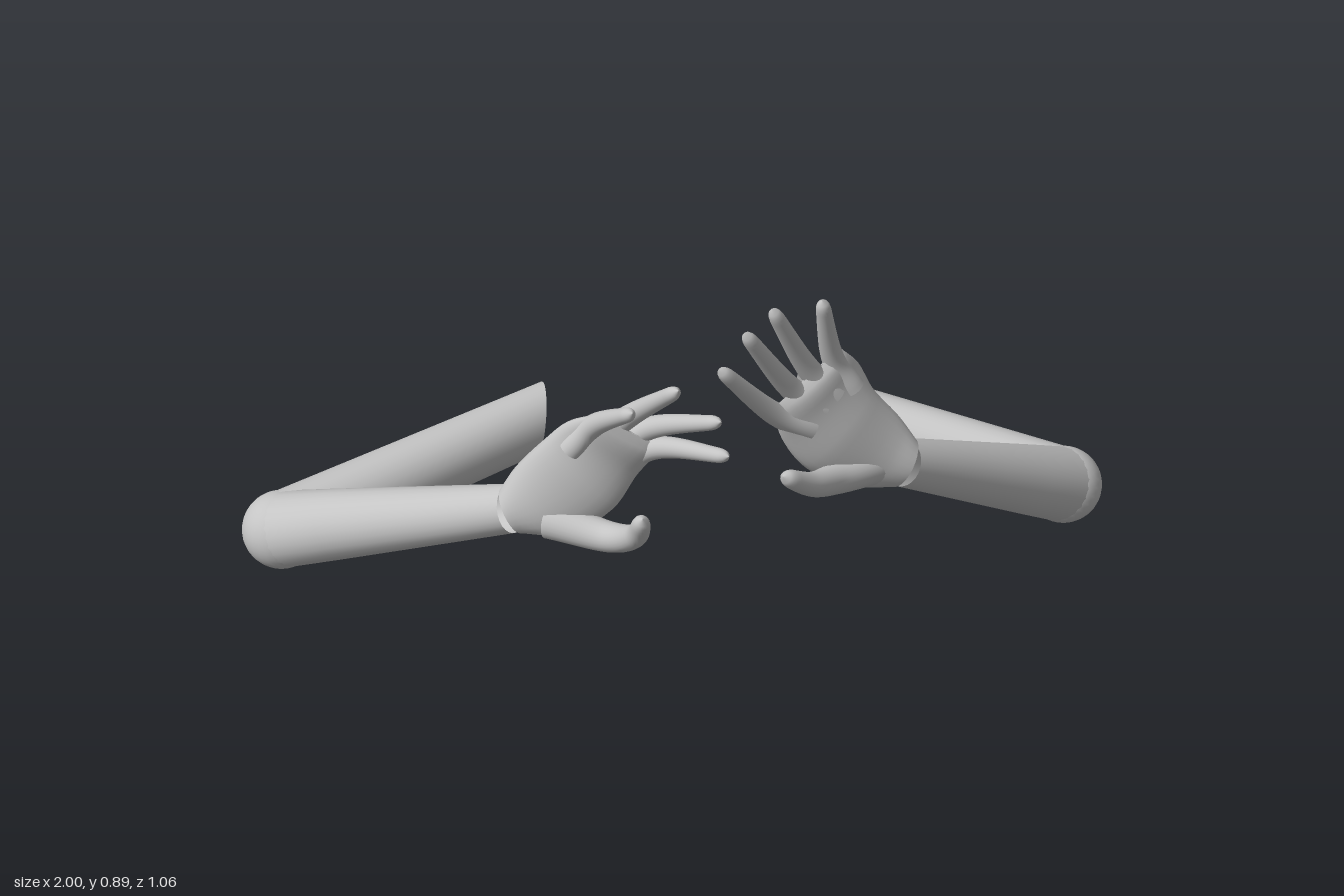
import * as THREE from 'three';

const SIDES = 24;
const UP = new THREE.Vector3(0, 1, 0);
const V = (p) => new THREE.Vector3(...p);

// Skin through rings, each given by a centre and two half axes
function loft(rings) {
  const pos = [], idx = [];
  for (const { c, a, b } of rings) {
    for (let j = 0; j < SIDES; j++) {
      const t = (j / SIDES) * Math.PI * 2;
      const p = c.clone().addScaledVector(a, Math.cos(t)).addScaledVector(b, Math.sin(t));
      pos.push(p.x, p.y, p.z);
    }
  }
  for (let i = 0; i < rings.length - 1; i++) {
    for (let j = 0; j < SIDES; j++) {
      const k = (j + 1) % SIDES, r = i * SIDES, s = r + SIDES;
      idx.push(r + j, r + k, s + j, r + k, s + k, s + j);
    }
  }
  const g = new THREE.BufferGeometry();
  g.setAttribute('position', new THREE.Float32BufferAttribute(pos, 3));
  g.setIndex(idx);
  g.computeVertexNormals();
  return g;
}

// Ring square to the direction d
function ring(c, d, rx, ry = rx) {
  const a = UP.clone().cross(d).normalize();
  const b = d.clone().cross(a).normalize();
  return { c, a: a.multiplyScalar(rx), b: b.multiplyScalar(ry) };
}

const roundEnd = (t, s) => (t > s ? Math.sqrt(Math.max(1e-4, 1 - ((t - s) / (1 - s)) ** 2)) : 1);

// Tapered, round-tipped digit along a curve
function digit(points, r0, r1) {
  const curve = new THREE.CatmullRomCurve3(points);
  const rings = [];
  for (let i = 0; i <= 32; i++) {
    const t = i / 32;
    const r = THREE.MathUtils.lerp(r0, r1, t) * roundEnd(t, 0.9);
    rings.push(ring(curve.getPointAt(t), curve.getTangentAt(t), r));
  }
  return loft(rings);
}

// Palm from thumb-side edge, little-finger-side edge and half thickness
function palm(sections) {
  const p = new THREE.CatmullRomCurve3(sections.map((s) => V(s[0])));
  const q = new THREE.CatmullRomCurve3(sections.map((s) => V(s[1])));
  const mid = (t) => p.getPoint(t).add(q.getPoint(t)).multiplyScalar(0.5);
  const rings = [];
  const n = sections.length - 1;
  for (let i = 0; i <= 24; i++) {
    const t = i / 24, k = Math.min(n - 1, Math.floor(t * n));
    const thick = THREE.MathUtils.lerp(sections[k][2], sections[k + 1][2], t * n - k) * roundEnd(t, 0.85);
    const d = mid(Math.min(1, t + 0.02)).sub(mid(Math.max(0, t - 0.02)));
    const a = q.getPoint(t).sub(p.getPoint(t)).multiplyScalar(0.5);
    rings.push({ c: mid(t), a, b: d.cross(a).normalize().multiplyScalar(thick) });
  }
  return loft(rings);
}

const ARMS = {
  left: {
    shoulder: { c: [0.42, 0.11, -0.39], a: [0.01, 0, -0.09], b: [0, 0.09, 0] },
    elbow: [0.91, 0.095, 0.1],
    wrist: [0.405, 0.4, 0.345],
    palm: [
      [[0.38, 0.35, 0.36], [0.44, 0.45, 0.335], 0.045],
      [[0.29, 0.375, 0.375], [0.405, 0.505, 0.32], 0.045],
      [[0.165, 0.46, 0.4], [0.34, 0.59, 0.32], 0.042],
      [[0.105, 0.55, 0.405], [0.305, 0.66, 0.32], 0.033],
      [[0.08, 0.635, 0.41], [0.255, 0.72, 0.345], 0.024],
    ],
    fingers: {
      index: [[0.095, 0.61, 0.4], [-0.055, 0.785, 0.46]],
      middle: [[0.135, 0.655, 0.378], [0.003, 0.857, 0.45]],
      ring: [[0.18, 0.685, 0.36], [0.072, 0.888, 0.42]],
      little: [[0.24, 0.69, 0.345], [0.188, 0.883, 0.405]],
    },
    thumb: [[0.34, 0.41, 0.35], [0.23, 0.43, 0.41], [0.155, 0.465, 0.47], [0.07, 0.533, 0.522]],
  },
  right: {
    shoulder: { c: [-0.235, 0.152, -0.445], a: [-0.01, 0, 0.085], b: [0.015, 0.0875, 0] },
    elbow: [-0.91, 0.102, -0.215],
    wrist: [-0.455, 0.345, 0.205],
    palm: [
      [[-0.435, 0.295, 0.225], [-0.48, 0.395, 0.2], 0.045],
      [[-0.35, 0.3, 0.27], [-0.445, 0.455, 0.21], 0.045],
      [[-0.25, 0.37, 0.305], [-0.39, 0.535, 0.245], 0.042],
      [[-0.19, 0.45, 0.3], [-0.345, 0.59, 0.275], 0.033],
      [[-0.14, 0.52, 0.32], [-0.29, 0.625, 0.315], 0.024],
    ],
    fingers: {
      index: [[-0.16, 0.515, 0.31], [-0.045, 0.592, 0.503]],
      middle: [[-0.172, 0.56, 0.3], [-0.06, 0.675, 0.492]],
      ring: [[-0.22, 0.59, 0.295], [-0.145, 0.75, 0.463]],
      little: [[-0.295, 0.59, 0.305], [-0.243, 0.706, 0.455]],
    },
    thumb: [[-0.38, 0.34, 0.26], [-0.27, 0.335, 0.36], [-0.235, 0.385, 0.44], [-0.235, 0.465, 0.498]],
  },
};

export function createModel() {
  const group = new THREE.Group();
  const skin = new THREE.MeshStandardMaterial({ color: 0xc4c4c4, side: THREE.DoubleSide });
  skin.name = 'grey skin';

  for (const [side, spec] of Object.entries(ARMS)) {
    const arm = new THREE.Group();
    arm.name = side + 'Arm';
    const add = (name, geometry) => {
      const m = new THREE.Mesh(geometry, skin);
      m.name = name;
      arm.add(m);
      return m;
    };
    const elbow = V(spec.elbow), wrist = V(spec.wrist);

    // Upper arm, open at the shoulder end
    const s = { c: V(spec.shoulder.c), a: V(spec.shoulder.a), b: V(spec.shoulder.b) };
    const du = elbow.clone().sub(s.c).normalize();
    add('upperArm', loft([s, ring(elbow, du, 0.084, 0.091)]));
    add('elbow', new THREE.SphereGeometry(0.092, 32, 20)).position.copy(elbow);

    // Forearm, narrowing to the wrist
    const df = wrist.clone().sub(elbow).normalize();
    const radii = [0.09, 0.082, 0.073, 0.064, 0.055];
    add('forearm', loft(radii.map((r, i) => ring(elbow.clone().lerp(wrist, i / 4), df, r))));

    // Hand
    add('palm', palm(spec.palm));
    for (const [name, [base, tip]] of Object.entries(spec.fingers)) {
      const root = wrist.clone().lerp(V(base), 0.75);
      add(name + 'Finger', digit([root, V(base), V(tip)], 0.03, 0.015));
    }
    add('thumb', digit(spec.thumb.map(V), 0.046, 0.018));
    group.add(arm);
  }
  return group;
}
